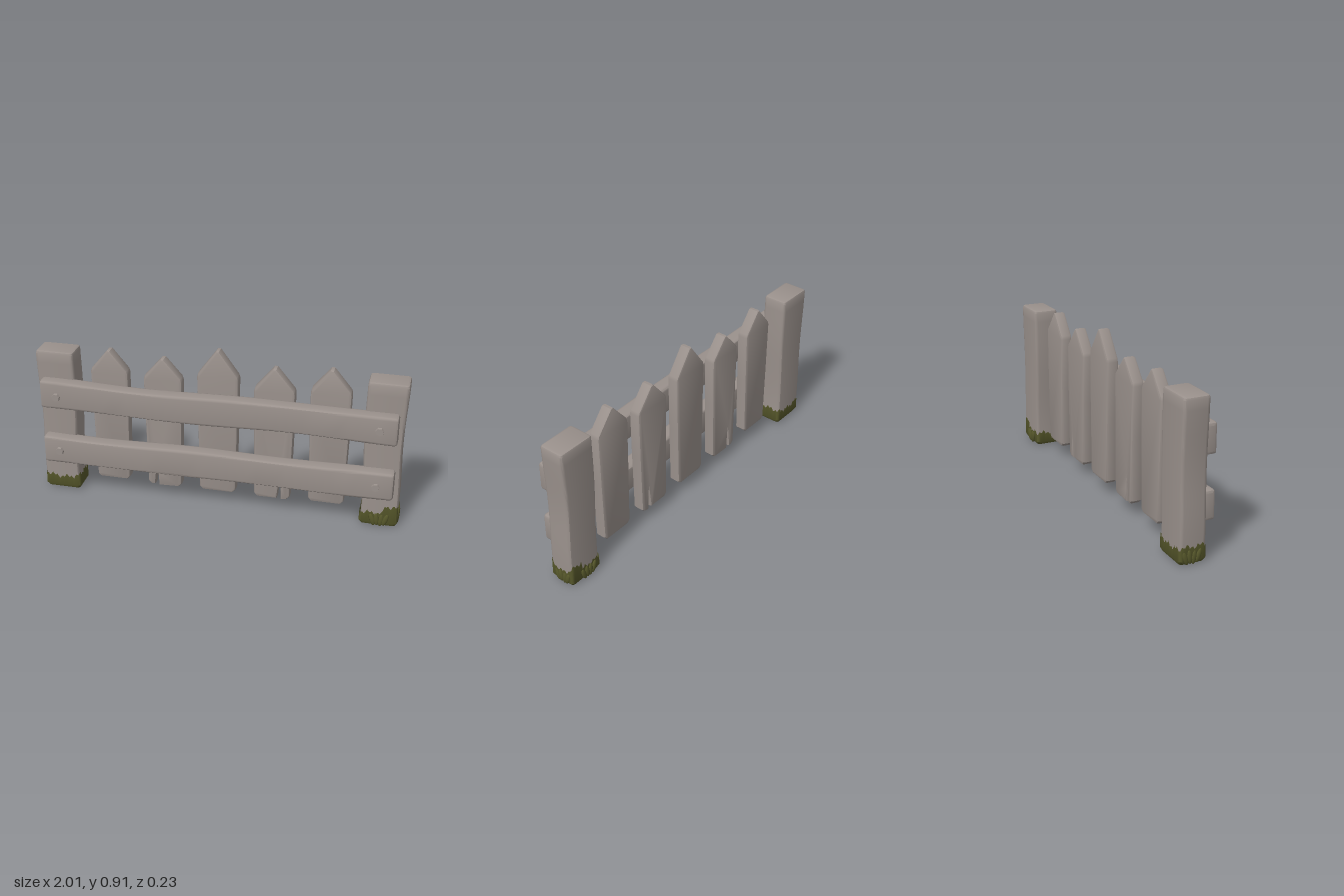
import * as THREE from 'three';
import { mergeVertices, toCreasedNormals } from 'three/addons/utils/BufferGeometryUtils.js';

const wood = new THREE.MeshStandardMaterial({ color: 0x9a918c });
wood.name = 'weathered wood';
const moss = new THREE.MeshStandardMaterial({ color: 0x55562a, side: THREE.DoubleSide });
moss.name = 'moss';

function part(parent, name, geometry, material) {
  const mesh = new THREE.Mesh(geometry, material);
  mesh.name = name;
  parent.add(mesh);
  return mesh;
}

// Weld, apply a vertex rule, then smooth everything but the sharp edges
function finish(geometry, rule) {
  geometry.deleteAttribute('uv');
  geometry.deleteAttribute('normal');
  const g = mergeVertices(geometry, 1e-4);
  const p = g.attributes.position;
  const v = new THREE.Vector3();
  if (rule) {
    for (let i = 0; i < p.count; i++) {
      rule(v.fromBufferAttribute(p, i));
      p.setXYZ(i, v.x, v.y, v.z);
    }
  }
  return toCreasedNormals(g, 0.6);
}

function roundedRect(w, h, r) {
  const s = new THREE.Shape();
  const x = w / 2, y = h / 2;
  s.moveTo(-x + r, -y);
  s.lineTo(x - r, -y).quadraticCurveTo(x, -y, x, -y + r);
  s.lineTo(x, y - r).quadraticCurveTo(x, y, x - r, y);
  s.lineTo(-x + r, y).quadraticCurveTo(-x, y, -x, y - r);
  s.lineTo(-x, -y + r).quadraticCurveTo(-x, -y, -x + r, -y);
  return s;
}

// Extrusion of total thickness "length" from z = 0, with bevels kept inside the outline
function bevelled(shape, length, bevel, steps) {
  const g = new THREE.ExtrudeGeometry(shape, {
    depth: length - 2 * bevel, steps, curveSegments: 3, bevelEnabled: true,
    bevelThickness: bevel, bevelSize: bevel, bevelOffset: -bevel, bevelSegments: 2,
  });
  return g.translate(0, 0, bevel);
}

// Pointed picket; "split" is the x of a crack running up from the bottom edge
function picketGeometry({ w, top, shoulder, bottom, split }) {
  const a = w / 2, b = a * 0.9, c = 0.018;
  const pts = [[-b, bottom + c], [-b + c, bottom]];
  if (split !== undefined) {
    pts.push([split - 0.012, bottom], [split - 0.004, bottom + 0.07], [split + 0.005, bottom + 0.14],
      [split + 0.006, bottom + 0.07], [split + 0.01, bottom - 0.004]);
  }
  pts.push([b - c, bottom], [b, bottom + c], [a * 0.97, 0.45], [a, shoulder - 0.02], [a - 0.006, shoulder],
    [0.008, top], [-0.008, top], [-a + 0.006, shoulder], [-a, shoulder - 0.02], [-a * 0.96, 0.45]);
  const shape = new THREE.Shape(pts.map(([x, y]) => new THREE.Vector2(x, y)));
  return finish(bevelled(shape, 0.066, 0.012, 1));
}

// Ragged moss sleeve around a post foot; height(x, z) gives its upper edge
function mossSleeve(height) {
  const ring = roundedRect(0.208, 0.148, 0.02).getSpacedPoints(80).slice(0, -1);
  const n = ring.length;
  const pos = [], idx = [];
  ring.forEach((p, i) => {
    const h = height(p.x, p.y) + 0.009 * Math.sin(i * 1.9) + 0.008 * Math.sin(i * 0.7);
    pos.push(p.x * 0.9, 0.01, p.y * 0.88, p.x, 0.028, p.y, p.x * 0.985, h, p.y * 0.985);
    const j = (i + 1) % n;
    for (let r = 0; r < 2; r++) {
      const a = i * 3 + r, b = j * 3 + r;
      idx.push(a, a + 1, b, b, a + 1, b + 1);
    }
    idx.push(i * 3, j * 3, n * 3);
  });
  pos.push(0, 0.01, 0);
  const g = new THREE.BufferGeometry();
  g.setAttribute('position', new THREE.Float32BufferAttribute(pos, 3));
  g.setIndex(idx);
  return toCreasedNormals(g, 0.6);
}

// Fan of flat moss leaves, facing along angle "turn" about the vertical axis
function leafCluster(parent, x, z, turn) {
  const cluster = new THREE.Group();
  cluster.name = 'mossLeaves';
  const blade = new THREE.SphereGeometry(1, 10, 8).scale(0.014, 0.037, 0.009);
  [-0.4, -0.15, 0.12, 0.38].forEach((tilt, i) => {
    const leaf = part(cluster, 'mossLeaf', blade, moss);
    leaf.position.set(tilt * 0.09, 0.043 + (i % 2) * 0.005, i % 2 ? 0.002 : 0);
    leaf.rotation.z = -tilt * 0.8;
  });
  cluster.position.set(x, 0, z);
  cluster.rotation.y = turn;
  parent.add(cluster);
}

export function createModel() {
  const fence = new THREE.Group();
  fence.name = 'fence';
  const postZ = -0.031;

  // Posts, tapering a little towards the ground
  for (const side of [-1, 1]) {
    const post = new THREE.Group();
    post.name = side > 0 ? 'leftPost' : 'rightPost';
    post.position.set(side * 0.893, 0, postZ);
    fence.add(post);
    const g = bevelled(roundedRect(0.212, 0.14, 0.018), 0.835, 0.014, 14);
    g.rotateX(-Math.PI / 2).translate(0, 0.015, 0);
    part(post, 'postBeam', finish(g, (v) => {
      const t = THREE.MathUtils.smoothstep(v.y, 0.35, 0.78);
      v.x *= 0.925 + 0.075 * t;
      v.x += side * 0.004 * Math.sin(v.y * 9);
      if (v.y > 0.8) v.y -= 0.006 * Math.abs(v.x) / 0.1;
    }), wood);

    // Moss climbs higher on the outer corners of one post
    part(post, 'mossCollar', mossSleeve((x, z) => side > 0
      ? 0.085 + (x > 0.03 ? 0.045 * (z / 0.074) ** 2 : 0)
      : 0.08 + 0.018 * (x / 0.1) ** 2), moss);
    leafCluster(post, side * 0.1, -0.005, side * Math.PI / 2);
    if (side > 0) {
      leafCluster(post, 0.005, 0.075, 0);
      leafCluster(post, -0.015, -0.075, Math.PI);
    }
  }

  // Pickets
  [
    { x: -0.6, w: 0.21, top: 0.865, shoulder: 0.755, bottom: 0.087 },
    { x: -0.302, w: 0.212, top: 0.845, shoulder: 0.74, bottom: 0.077, split: -0.045 },
    { x: 0, w: 0.225, top: 0.92, shoulder: 0.785, bottom: 0.08 },
    { x: 0.305, w: 0.22, top: 0.85, shoulder: 0.735, bottom: 0.077, split: 0.04 },
    { x: 0.603, w: 0.215, top: 0.873, shoulder: 0.76, bottom: 0.087 },
  ].forEach((spec) => {
    part(fence, 'picket', picketGeometry(spec), wood).position.set(spec.x, 0, -0.06);
  });

  // Rails with a gentle hand-hewn waver, each nailed at both ends
  [0.61, 0.28].forEach((y, k) => {
    const g = bevelled(roundedRect(0.082, 0.16, 0.016), 1.935, 0.016, 24);
    g.rotateY(Math.PI / 2).translate(-0.97, 0, 0);
    const rail = part(fence, k ? 'lowerRail' : 'upperRail', finish(g, (v) => {
      v.y *= 0.965 + 0.035 * Math.cos(v.x * 6.5 + k);
      v.y += 0.004 * Math.sin(v.x * 5 + k * 2);
      v.z += 0.004 * Math.sin(v.x * 4 + 2.6);
    }), wood);
    rail.position.set(0, y, 0.062);
    for (const x of [-0.875, 0.872]) {
      const nail = new THREE.CylinderGeometry(0.021, 0.027, 0.04, 7).rotateX(Math.PI / 2);
      part(fence, 'nail', toCreasedNormals(nail, 0.6), wood).position.set(x, y - 0.002, 0.095);
    }
  });

  return fence;
}
